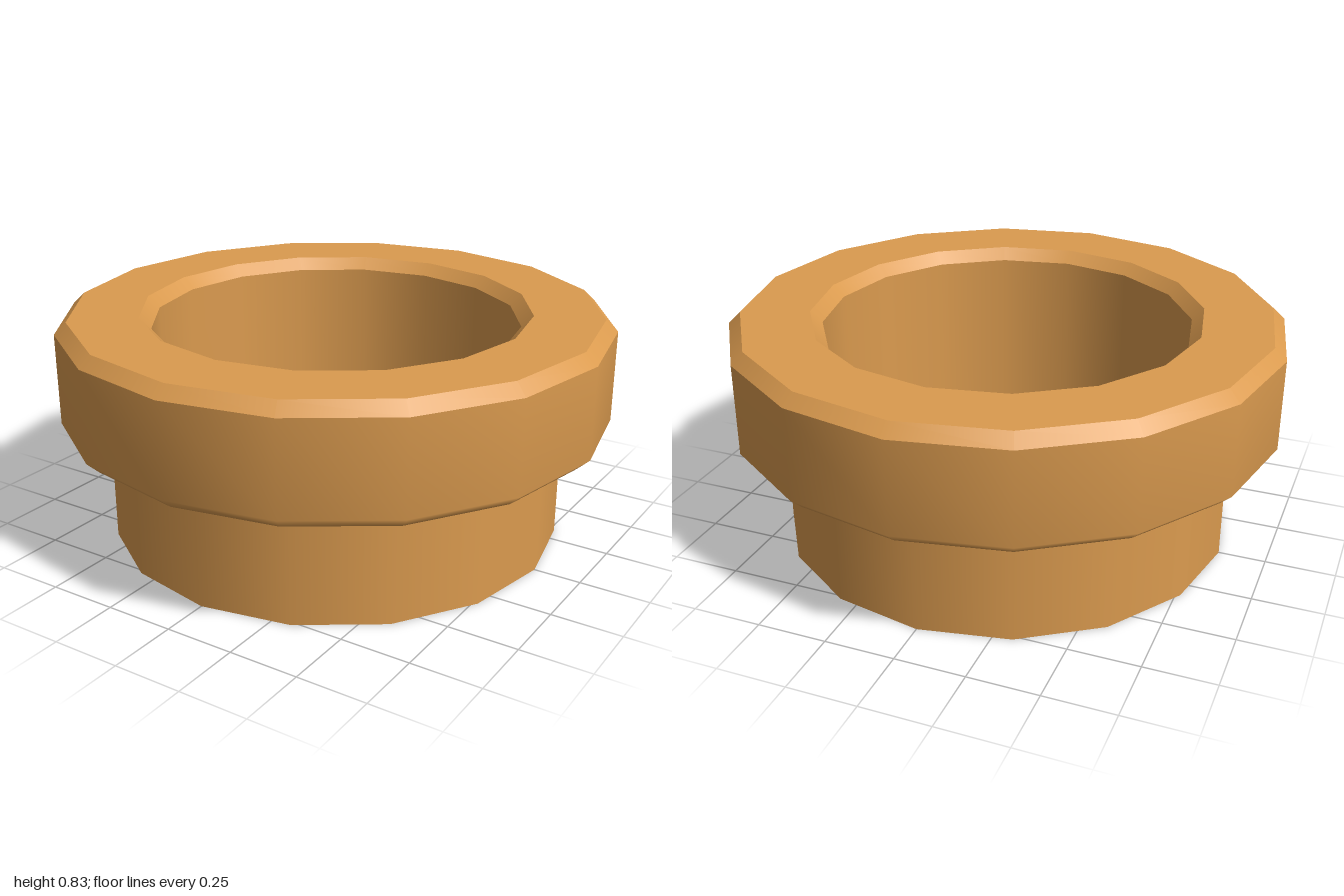
import * as THREE from 'three';

const SIDES = 16;

export function createModel() {
  const group = new THREE.Group();
  group.name = 'flangedBushing';
  const bronze = new THREE.MeshStandardMaterial({ color: 0xdb9b4f });
  bronze.name = 'bronze';

  // Each band is smooth within itself and sharp against its neighbours.
  const band = (name, ...profile) => {
    const points = profile.map(([r, y]) => new THREE.Vector2(r, y));
    const mesh = new THREE.Mesh(new THREE.LatheGeometry(points, SIDES), bronze);
    mesh.name = name;
    group.add(mesh);
  };

  // Sleeve
  band('sleeveWall', [0.83, 0], [0.83, 0.42]);
  band('sleeveBottom', [0.665, 0], [0.83, 0]);

  // Collar, its lower chamfer blending into the wall
  band('collarUnderside', [0.83, 0.42], [0.957, 0.42]);
  band('collarWall', [0.957, 0.42], [1, 0.46], [1, 0.79]);
  band('collarTopChamfer', [1, 0.79], [0.957, 0.832]);
  band('collarTop', [0.957, 0.832], [0.707, 0.832]);

  // Bore
  band('boreChamfer', [0.707, 0.832], [0.665, 0.79]);
  band('boreWall', [0.665, 0.79], [0.665, 0]);

  return group;
}
